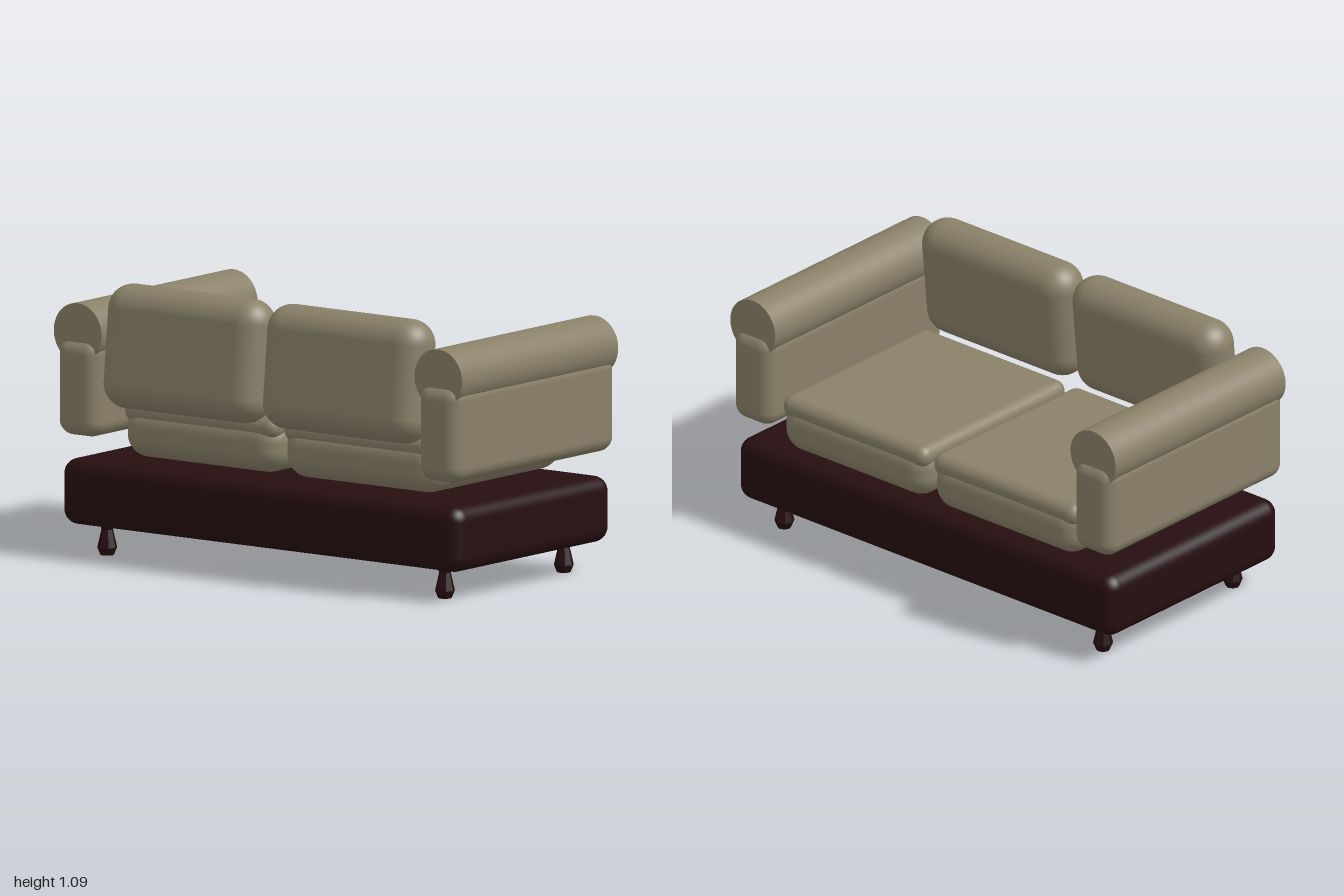
import * as THREE from 'three';
import { RoundedBoxGeometry } from 'three/addons/geometries/RoundedBoxGeometry.js';

export function createModel() {
  const sofa = new THREE.Group();
  sofa.name = 'sofa';

  const fabric = new THREE.MeshStandardMaterial({ color: 0x8a8169 });
  fabric.name = 'khaki fabric';
  const wood = new THREE.MeshStandardMaterial({ color: 0x260e10 });
  wood.name = 'dark wood';
  wood.flatShading = false;

  const add = (name, geometry, material, x, y, z) => {
    const mesh = new THREE.Mesh(geometry, material);
    mesh.name = name;
    mesh.position.set(x, y, z);
    sofa.add(mesh);
    return mesh;
  };
  const box = (w, h, d, r) => new RoundedBoxGeometry(w, h, d, 6, r);

  // Plinth under the whole sofa
  add('base', box(1.955, 0.26, 1.0, 0.06), wood, 0, 0.25, -0.01);

  // Turned legs with eight flat sides
  const legProfile = [[0, 0], [0.027, 0], [0.039, 0.03], [0.023, 0.1], [0.03, 0.125], [0, 0.125]]
    .map(([r, y]) => new THREE.Vector2(r, y));
  const leg = new THREE.LatheGeometry(legProfile, 8).toNonIndexed();
  leg.computeVertexNormals();

  // Shared shapes for the two mirrored halves
  const armPanel = box(0.202, 0.385, 1.04, 0.06);
  const armRoll = new THREE.CylinderGeometry(0.117, 0.117, 0.998, 40).rotateX(Math.PI / 2);
  const seatLower = box(0.762, 0.212, 0.865, 0.09);
  const seatUpper = box(0.75, 0.092, 0.855, 0.045);
  const backCushion = box(0.77, 0.488, 0.2, 0.099);

  for (const [side, s] of [['left', 1], ['right', -1]]) {
    // Arm: upright panel with a rolled top
    add(side + 'ArmPanel', armPanel, fabric, s * 0.884, 0.668, -0.01);
    add(side + 'ArmRoll', armRoll, fabric, s * 0.883, 0.884, -0.01);

    // Seat cushion with a thin seamed top
    add(side + 'SeatCushion', seatLower, fabric, s * 0.391, 0.496, -0.06);
    add(side + 'SeatTop', seatUpper, fabric, s * 0.391, 0.574, -0.06);

    // Back cushion, leaning slightly over the seat
    const back = add(side + 'BackCushion', backCushion, fabric, s * 0.39, 0.844, 0.415);
    back.rotation.x = -0.1;

    // Legs at both ends
    for (const [end, z] of [['Back', 0.373], ['Front', -0.387]]) {
      add(side + end + 'Leg', leg, wood, s * 0.827, 0, z);
    }
  }
  return sofa;
}
